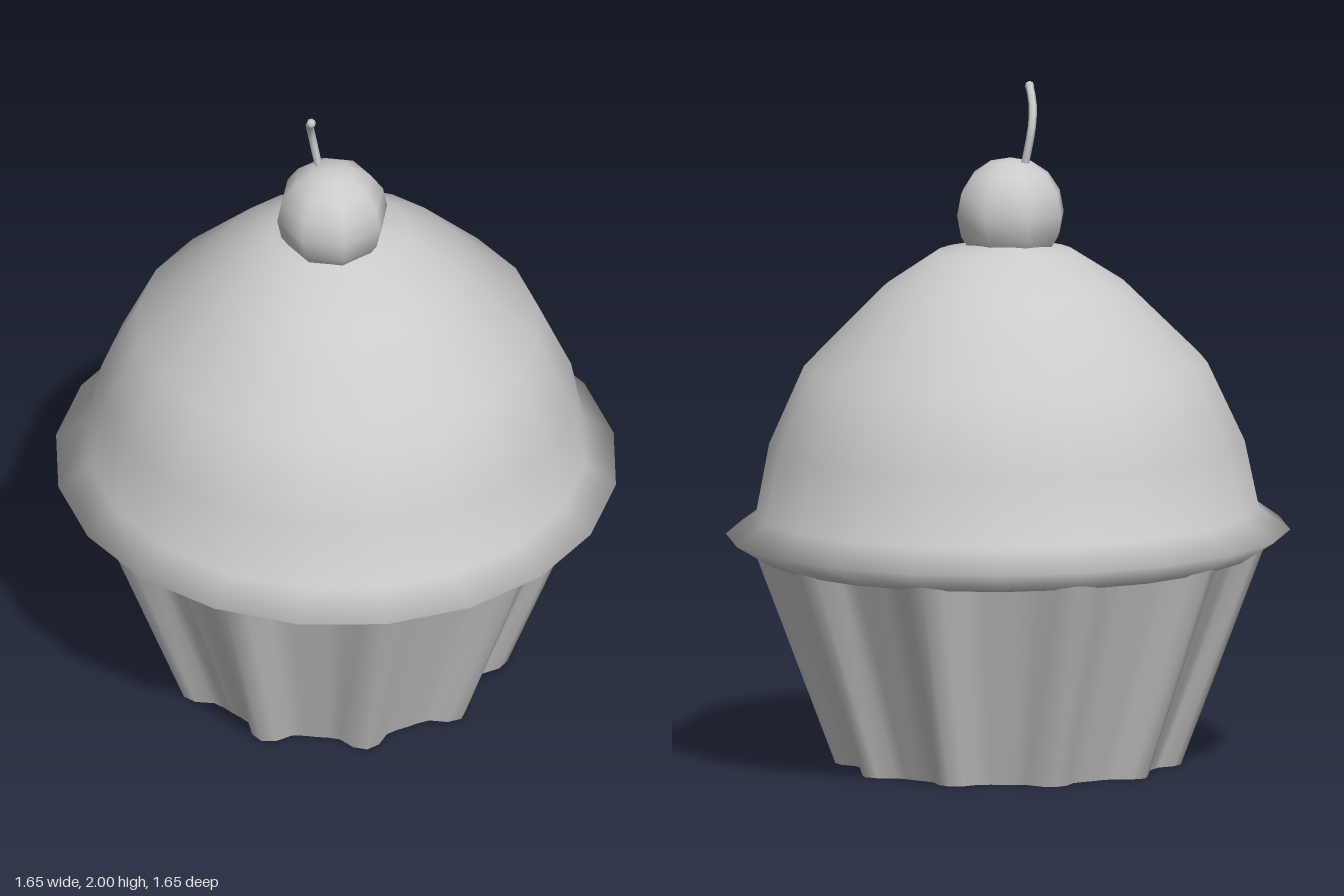
import * as THREE from 'three';

const material = new THREE.MeshStandardMaterial({ color: 0xcccccc, side: THREE.DoubleSide });

function part(name, geometry, parent) {
  const mesh = new THREE.Mesh(geometry, material);
  mesh.name = name;
  parent.add(mesh);
  return mesh;
}

// Open paper cup: wide valleys separated by ten narrow rounded ridges
function pleatedCup() {
  const ridge = [0, 0, 0.12, 0.75, 1, 0.75, 0.12, 0];
  const pleats = 10, steps = ridge.length, height = 0.66;
  const geo = new THREE.CylinderGeometry(1, 1, height, pleats * steps, 1, true);
  geo.translate(0, height / 2, 0);
  const p = geo.attributes.position;
  for (let i = 0; i < p.count; i++) {
    const column = i % (pleats * steps + 1);
    const t = p.getY(i) / height;
    const valley = THREE.MathUtils.lerp(0.44, 0.68, t);
    const crest = THREE.MathUtils.lerp(0.505, 0.755, t);
    const r = THREE.MathUtils.lerp(valley, crest, ridge[column % steps]);
    p.setXYZ(i, p.getX(i) * r, p.getY(i), p.getZ(i) * r);
  }
  geo.computeVertexNormals();
  return geo;
}

export function createModel() {
  const cupcake = new THREE.Group();
  cupcake.name = 'cupcake';

  part('wrapper', pleatedCup(), cupcake);

  // Domed frosting with a flared rim, tipped slightly backwards
  const profile = [
    [0.62, 0.64], [0.72, 0.62], [0.825, 0.685], [0.735, 0.75], [0.695, 0.95],
    [0.59, 1.18], [0.36, 1.41], [0.2, 1.515], [0, 1.55],
  ].map(([r, y]) => new THREE.Vector2(r, y - 0.68));
  const frosting = part('frosting', new THREE.LatheGeometry(profile, 20), cupcake);
  frosting.position.y = 0.68;
  frosting.rotation.x = -0.02;

  // Cherry sunk into the top of the frosting
  const cherry = part('cherry', new THREE.SphereGeometry(0.165, 8, 8), cupcake);
  cherry.position.set(0.02, 1.618, 0.037);
  cherry.rotation.y = 0.21;

  // Bent stem with a slightly thicker tip
  const tip = new THREE.Vector3(0.012, 1.985, 0.118);
  const path = new THREE.CatmullRomCurve3([
    new THREE.Vector3(-0.025, 1.74, 0.04),
    new THREE.Vector3(-0.046, 1.88, 0.055),
    new THREE.Vector3(-0.025, 1.94, 0.085),
    tip,
  ]);
  part('stem', new THREE.TubeGeometry(path, 8, 0.012, 6), cupcake);
  part('stemTip', new THREE.SphereGeometry(0.015, 6, 4), cupcake).position.copy(tip);

  return cupcake;
}
